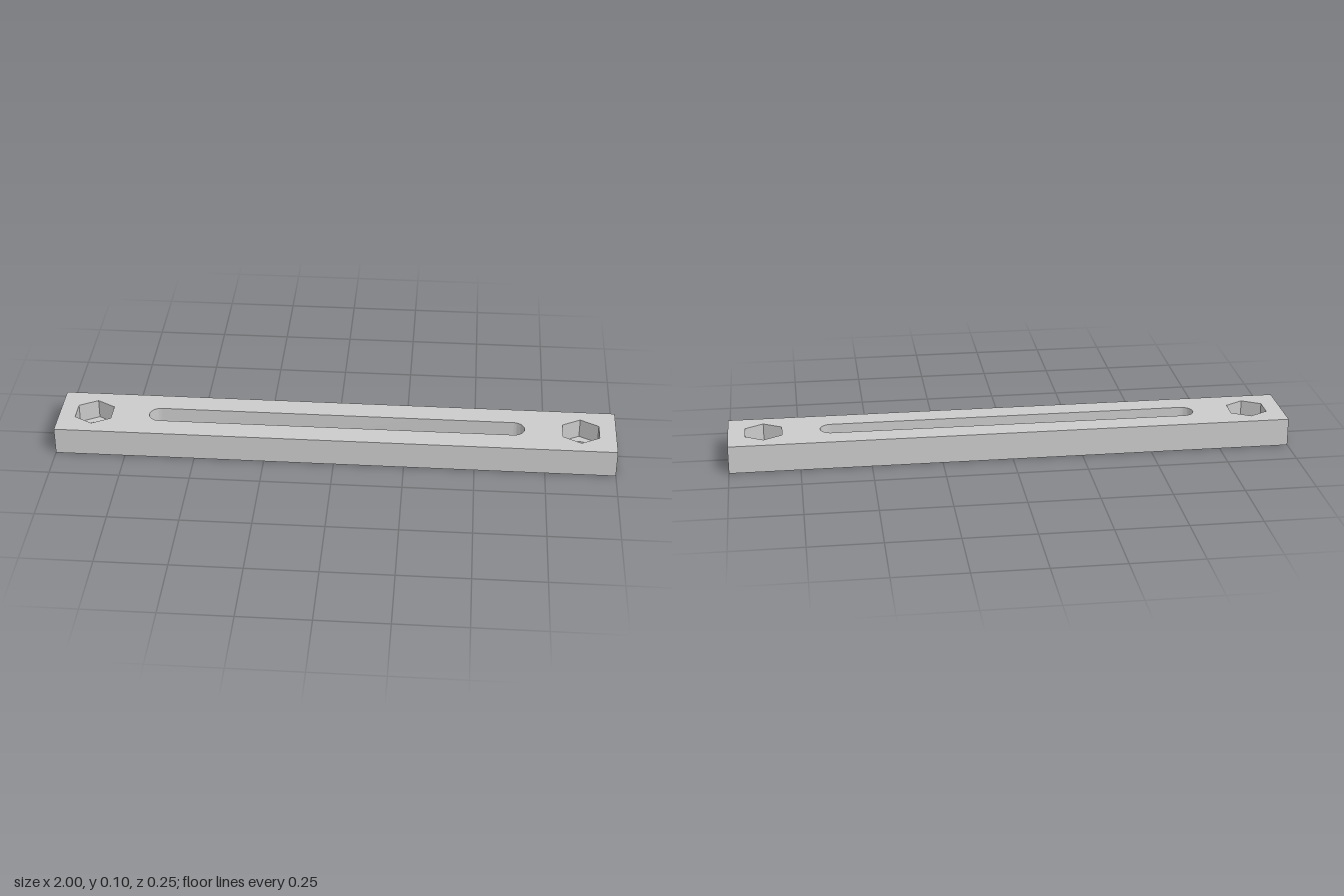
import * as THREE from 'three';
import { mergeGeometries, toCreasedNormals } from 'three/addons/utils/BufferGeometryUtils.js';

const HEIGHT = 0.1, FLOOR = 0.03; // bar height, thickness left under the nut pockets
const HOLE_X = 0.875, HOLE_R = 0.04, NUT_R = 0.075, SLOT_X = 0.635;

// Counter-clockwise arc points in plan
function arc(cx, r, n, start = 0, sweep = Math.PI * 2, last = n - 1) {
  return Array.from({ length: last + 1 }, (_, i) => {
    const a = start + (sweep * i) / n;
    return new THREE.Vector2(cx + r * Math.cos(a), r * Math.sin(a));
  });
}

// Flat horizontal face with holes, facing up or down
function cap(outline, holes, y, up) {
  const shape = new THREE.Shape(outline);
  shape.holes = holes.map((h) => new THREE.Path(h));
  const g = new THREE.ShapeGeometry(shape).toNonIndexed();
  g.deleteAttribute('uv');
  return g.rotateX(up ? -Math.PI / 2 : Math.PI / 2).translate(0, y, 0);
}

// Vertical wall along a closed outline, facing outwards or inwards
function wall(outline, y0, y1, inward) {
  const pts = inward ? [...outline].reverse() : outline;
  const pos = [];
  pts.forEach((a, i) => {
    const b = pts[(i + 1) % pts.length];
    const a0 = [a.x, y0, -a.y], a1 = [a.x, y1, -a.y];
    const b0 = [b.x, y0, -b.y], b1 = [b.x, y1, -b.y];
    pos.push(...a0, ...b0, ...b1, ...a0, ...b1, ...a1);
  });
  const g = new THREE.BufferGeometry();
  g.setAttribute('position', new THREE.Float32BufferAttribute(pos, 3));
  g.computeVertexNormals();
  return g;
}

export function createModel() {
  const group = new THREE.Group();
  const material = new THREE.MeshStandardMaterial({ color: 0xcccccc });
  const add = (name, ...parts) => {
    const mesh = new THREE.Mesh(toCreasedNormals(mergeGeometries(parts), 0.6), material);
    mesh.name = name;
    group.add(mesh);
  };

  const outline = [[-1, -0.125], [1, -0.125], [1, 0.125], [-1, 0.125]].map((p) => new THREE.Vector2(...p));
  const slot = [
    ...arc(SLOT_X, HOLE_R, 24, -Math.PI / 2, Math.PI, 24),
    ...arc(-SLOT_X, HOLE_R, 24, Math.PI / 2, Math.PI, 24),
  ];
  const sides = [-1, 1];
  const bolts = sides.map((s) => arc(s * HOLE_X, HOLE_R, 48));
  const nuts = sides.map((s) => arc(s * HOLE_X, NUT_R, 6, Math.PI / 2));

  // Bar: outer faces, pierced by the slot and the end holes
  add('bar',
    wall(outline, 0, HEIGHT, false),
    cap(outline, [slot, ...nuts], HEIGHT, true),
    cap(outline, [slot, ...bolts], 0, false));

  // Long through slot with round ends
  add('slotWall', wall(slot, 0, HEIGHT, true));

  // Hexagonal nut pocket above a round bolt hole at each end
  sides.forEach((s, i) => {
    const side = s > 0 ? 'left' : 'right';
    add(side + 'NutPocket', wall(nuts[i], FLOOR, HEIGHT, true), cap(nuts[i], [bolts[i]], FLOOR, true));
    add(side + 'BoltHole', wall(bolts[i], 0, FLOOR, true));
  });
  return group;
}
